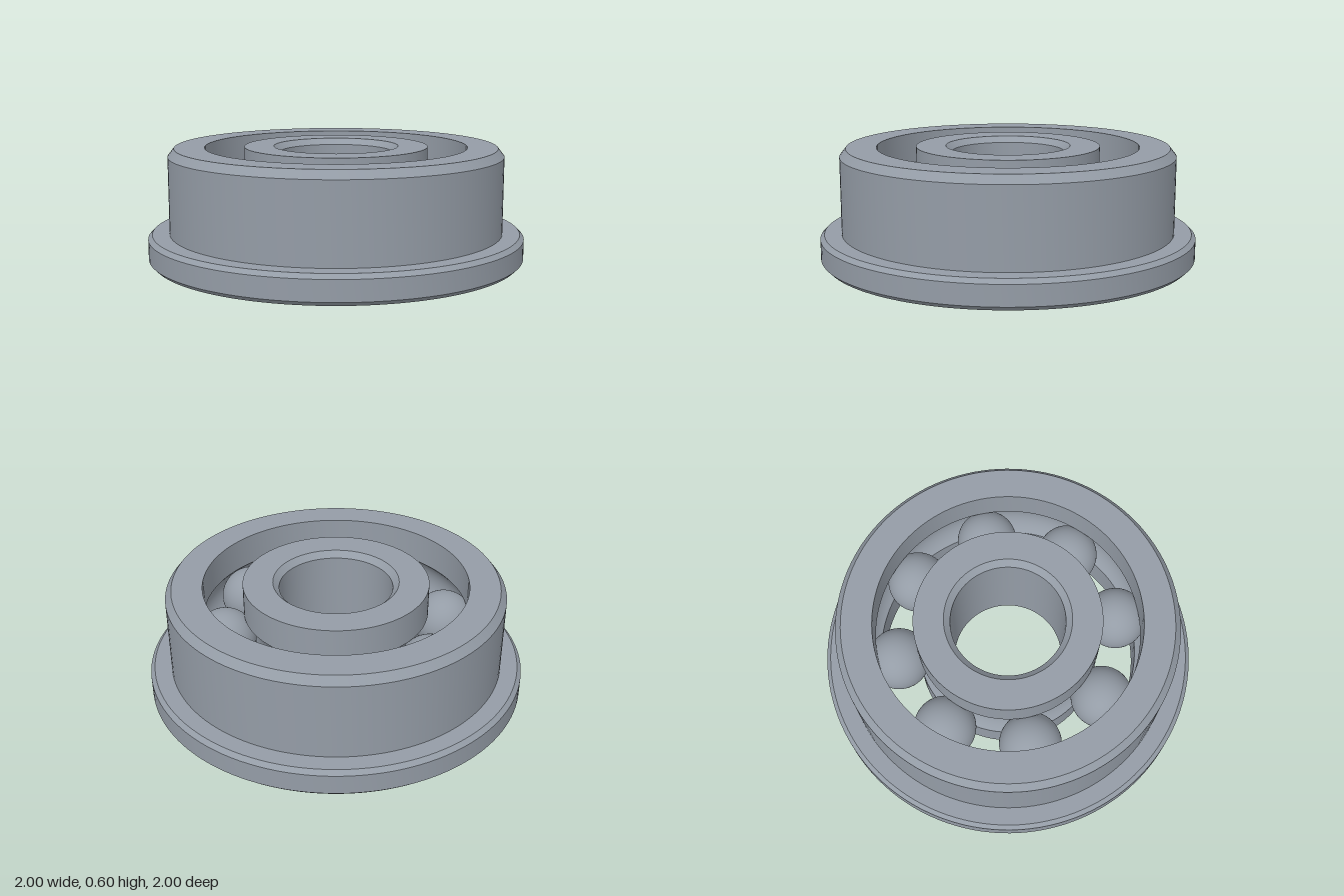
import * as THREE from 'three';
import { toCreasedNormals } from 'three/addons/utils/BufferGeometryUtils.js';

const HEIGHT = 0.6, MID = HEIGHT / 2;
const BALLS = 8, BALL_R = 0.163, ORBIT = 0.592;
const OUTER_BORE = 0.695, INNER_RIM = 0.487;

// Arc of the ball groove cut into a wall at radius r; dir = 1 runs upward, -1 downward
function groove(r, dir) {
  const R = BALL_R + 0.002;
  const depth = r - ORBIT;
  const half = Math.acos(Math.abs(depth) / R);
  const points = [];
  for (let i = 0; i <= 16; i++) {
    const a = dir * half * (i / 8 - 1);
    points.push([ORBIT + Math.sign(depth) * R * Math.cos(a), MID + R * Math.sin(a)]);
  }
  return points;
}

// Ring turned from a closed profile, smooth around and sharp at the chamfers
function ring(name, profile, material) {
  const points = [...profile, profile[0]].map(([r, y]) => new THREE.Vector2(r, y));
  const geometry = toCreasedNormals(new THREE.LatheGeometry(points, 128), 0.45);
  const mesh = new THREE.Mesh(geometry, material);
  mesh.name = name;
  return mesh;
}

export function createModel() {
  const steel = new THREE.MeshStandardMaterial({ color: 0x949ca6 });
  steel.name = 'steel';
  const model = new THREE.Group();
  model.name = 'flangedBallBearing';

  // Outer race with its flange at the bottom
  model.add(ring('outerRace', [
    [OUTER_BORE, 0], [0.978, 0], [1, 0.022], [1, 0.128], [0.978, 0.15],
    [0.888, 0.15], [0.888, 0.558], [0.855, HEIGHT], [OUTER_BORE, HEIGHT],
    ...groove(OUTER_BORE, -1),
  ], steel));

  // Inner race with a chamfered bore
  model.add(ring('innerRace', [
    [0.33, 0], [INNER_RIM, 0], ...groove(INNER_RIM, 1), [INNER_RIM, HEIGHT],
    [0.33, HEIGHT], [0.298, HEIGHT - 0.032], [0.298, 0.032],
  ], steel));

  // Balls spaced evenly between the races
  const ballGeometry = new THREE.SphereGeometry(BALL_R, 48, 32);
  const balls = new THREE.Group();
  balls.name = 'balls';
  for (let i = 0; i < BALLS; i++) {
    const a = 0.207 + (i / BALLS) * Math.PI * 2;
    const ball = new THREE.Mesh(ballGeometry, steel);
    ball.name = 'ball' + (i + 1);
    ball.position.set(ORBIT * Math.sin(a), MID, -ORBIT * Math.cos(a));
    balls.add(ball);
  }
  model.add(balls);
  return model;
}
